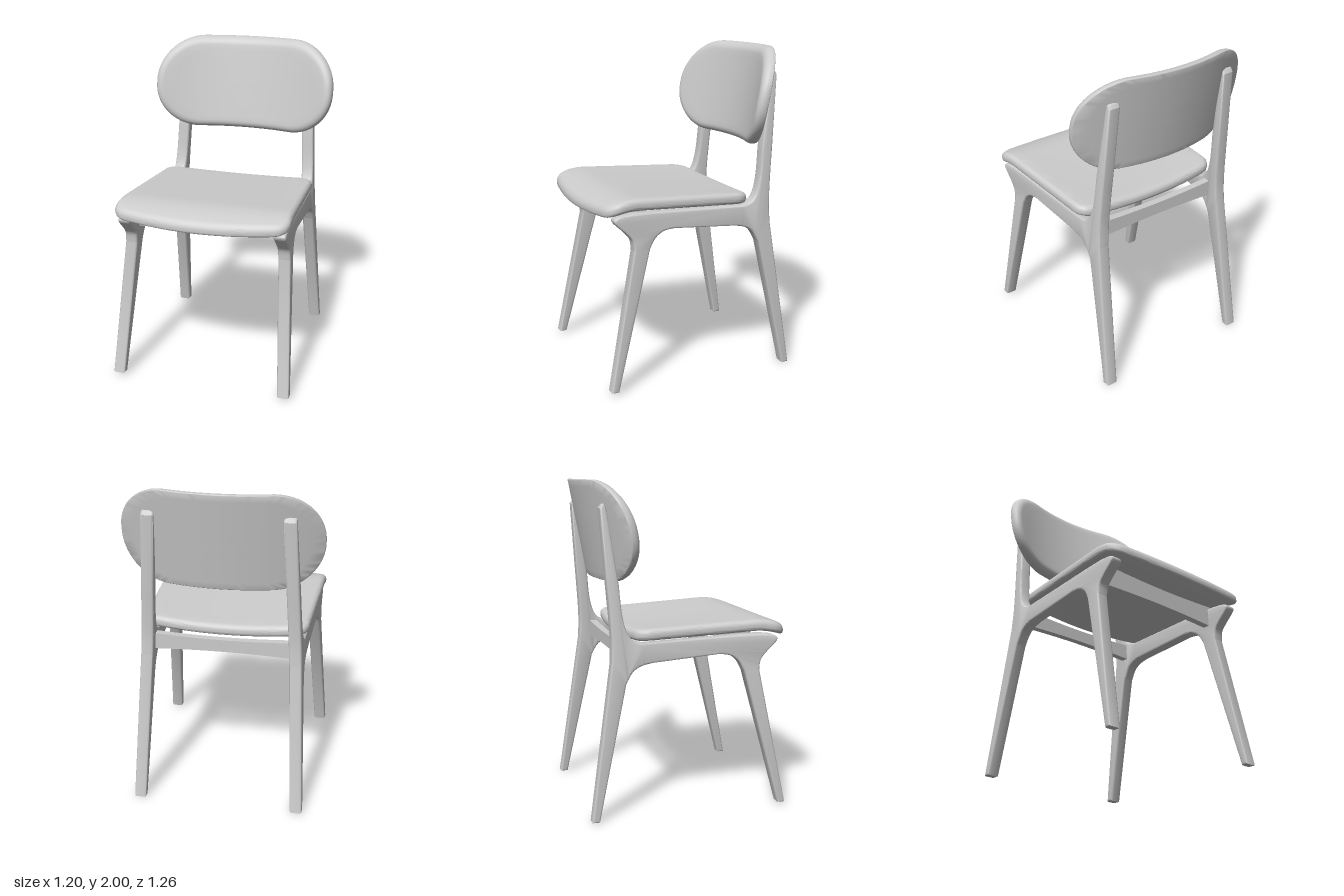
import * as THREE from 'three';
import { toCreasedNormals } from 'three/addons/utils/BufferGeometryUtils.js';

const paint = new THREE.MeshStandardMaterial({ color: 0xcccccc });
paint.name = 'light grey';

function addMesh(parent, geometry, name) {
  const mesh = new THREE.Mesh(geometry, paint);
  mesh.name = name;
  parent.add(mesh);
}

// Moves every vertex of a geometry by a rule.
function deform(geometry, rule) {
  const pos = geometry.attributes.position;
  const p = new THREE.Vector3();
  for (let i = 0; i < pos.count; i++) {
    p.fromBufferAttribute(pos, i);
    rule(p);
    pos.setXYZ(i, p.x, p.y, p.z);
  }
  return geometry;
}

function roundedOutline(hx, hy, r, count) {
  const s = new THREE.Shape();
  s.absarc(hx - r, hy - r, r, 0, Math.PI / 2);
  s.absarc(-hx + r, hy - r, r, Math.PI / 2, Math.PI);
  s.absarc(-hx + r, -hy + r, r, Math.PI, Math.PI * 1.5);
  s.absarc(hx - r, -hy + r, r, Math.PI * 1.5, Math.PI * 2);
  s.closePath();
  return s.getSpacedPoints(count).slice(0, count);
}

// Padded slab made of concentric rings; place(u, v, w) returns the final point.
function panel(hx, hy, corner, thick, topR, bottomR, place) {
  const N = 120, STEPS = 8, ARC = 6;
  const outline = roundedOutline(hx, hy, corner, N);
  const rings = []; // [scale, inset, height]
  for (let i = 0; i < STEPS; i++) rings.push([i / STEPS, topR, 0]);
  for (let i = 0; i <= ARC; i++) {
    const a = (i / ARC) * Math.PI / 2;
    rings.push([1, topR * (1 - Math.sin(a)), -topR * (1 - Math.cos(a))]);
  }
  for (let i = 0; i <= ARC; i++) {
    const a = (i / ARC) * Math.PI / 2;
    rings.push([1, bottomR * (1 - Math.cos(a)), -thick + bottomR * (1 - Math.sin(a))]);
  }
  for (let i = STEPS - 1; i >= 0; i--) rings.push([i / STEPS, bottomR, -thick]);

  const verts = [], index = [];
  rings.forEach(([scale, inset, h], i) => {
    outline.forEach((p, j) => {
      verts.push(...place(p.x * scale * (1 - inset / hx), p.y * scale * (1 - inset / hy), h));
      if (i === rings.length - 1) return;
      const k = (j + 1) % N, a = i * N, b = a + N;
      index.push(a + j, b + j, b + k, a + j, b + k, a + k);
    });
  });
  const g = new THREE.BufferGeometry();
  g.setAttribute('position', new THREE.Float32BufferAttribute(verts, 3));
  g.setIndex(index);
  return toCreasedNormals(g, 0.7);
}

// Side frame profile, drawn as (z, y): both legs, side rail and back post in one.
function frameShape() {
  const pts = list => list.map(([a, b]) => new THREE.Vector2(a, b));
  const s = new THREE.Shape();
  s.moveTo(0.54, 0.015);
  s.lineTo(0.585, 0.015);
  s.lineTo(0.42, 0.86);
  s.splineThru(pts([[0.43, 0.92], [0.465, 0.965], [0.535, 1.035], [0.515, 1.068], [0.42, 1.08]]));
  s.lineTo(0.3, 1.078);
  s.lineTo(-0.3, 1.055);
  s.splineThru(pts([[-0.36, 1.075], [-0.4, 1.13], [-0.425, 1.235], [-0.44, 1.4]]));
  s.lineTo(-0.5, 1.82);
  s.splineThru(pts([[-0.518, 1.865], [-0.541, 1.84]]));
  s.lineTo(-0.51, 1.4);
  s.splineThru(pts([[-0.495, 1.2], [-0.489, 1.06], [-0.493, 0.94]]));
  s.lineTo(-0.63, 0);
  s.lineTo(-0.585, 0);
  s.lineTo(-0.408, 0.82);
  s.splineThru(pts([[-0.37, 0.885], [-0.32, 0.92], [-0.25, 0.937]]));
  s.lineTo(0.16, 0.968);
  s.splineThru(pts([[0.23, 0.958], [0.285, 0.92], [0.32, 0.86]]));
  s.closePath();
  return s;
}

function sideFrame(side) {
  const width = 0.076, bevel = 0.012;
  const g = new THREE.ExtrudeGeometry(frameShape(), {
    depth: width - 2 * bevel, bevelEnabled: true, bevelThickness: bevel,
    bevelSize: bevel, bevelOffset: -bevel, bevelSegments: 3, curveSegments: 24,
  });
  g.translate(0, 0, bevel - width / 2);
  g.rotateY(-Math.PI / 2);
  // Legs splay outwards towards the floor and the front.
  deform(g, p => { p.x += side * (0.465 - 0.05 * (p.y - 1.05) + 0.035 * p.z); });
  return toCreasedNormals(g, 0.6);
}

// Cross rail with a gently arched lower edge.
function crossRail(half, bottom, top, z) {
  const s = new THREE.Shape();
  s.moveTo(-half, bottom);
  s.quadraticCurveTo(0, bottom + 0.025, half, bottom);
  s.lineTo(half, top);
  s.quadraticCurveTo(0, top - 0.03, -half, top);
  s.closePath();
  const g = new THREE.ExtrudeGeometry(s, { depth: 0.045, bevelEnabled: false, curveSegments: 20 });
  g.translate(0, 0, z - 0.0225);
  return toCreasedNormals(g, 0.6);
}

function seatPoint(u, v, w) {
  const t = -v / 0.455;
  const across = 1 - (u / 0.525) ** 2;
  const z = 0.12 - v + t * across * (t > 0 ? 0.055 : 0.035);
  // Rolled front lip, slight fall to the rear and a shallow dip in the middle.
  const slope = z > 0.4 ? -1.2 * (z - 0.4) ** 2 : (z - 0.4) * 0.042;
  const dip = 0.02 * across * THREE.MathUtils.clamp((0.6 - z) / 0.9, 0, 1);
  return [u * (1 + 0.038 * t), 1.17 + slope - dip + w, z];
}

function backrestPoint(u, v, w) {
  // Wraps forward at both ends and leans back at the top.
  return [u * (1 - 0.5 * w * Math.abs(u)), 1.703 + v, -0.488 + w + 0.45 * u * u - 0.19 * v];
}

export function createModel() {
  const chair = new THREE.Group();
  chair.name = 'chair';
  addMesh(chair, sideFrame(1), 'leftSideFrame');
  addMesh(chair, sideFrame(-1), 'rightSideFrame');
  addMesh(chair, crossRail(0.46, 0.96, 1.095, 0.36), 'frontRail');
  addMesh(chair, crossRail(0.44, 0.955, 1.06, -0.4), 'rearRail');
  addMesh(chair, panel(0.525, 0.455, 0.07, 0.07, 0.032, 0.025, seatPoint), 'seat');
  addMesh(chair, panel(0.588, 0.297, 0.285, 0.072, 0.05, 0.006, backrestPoint), 'backrest');
  return chair;
}
